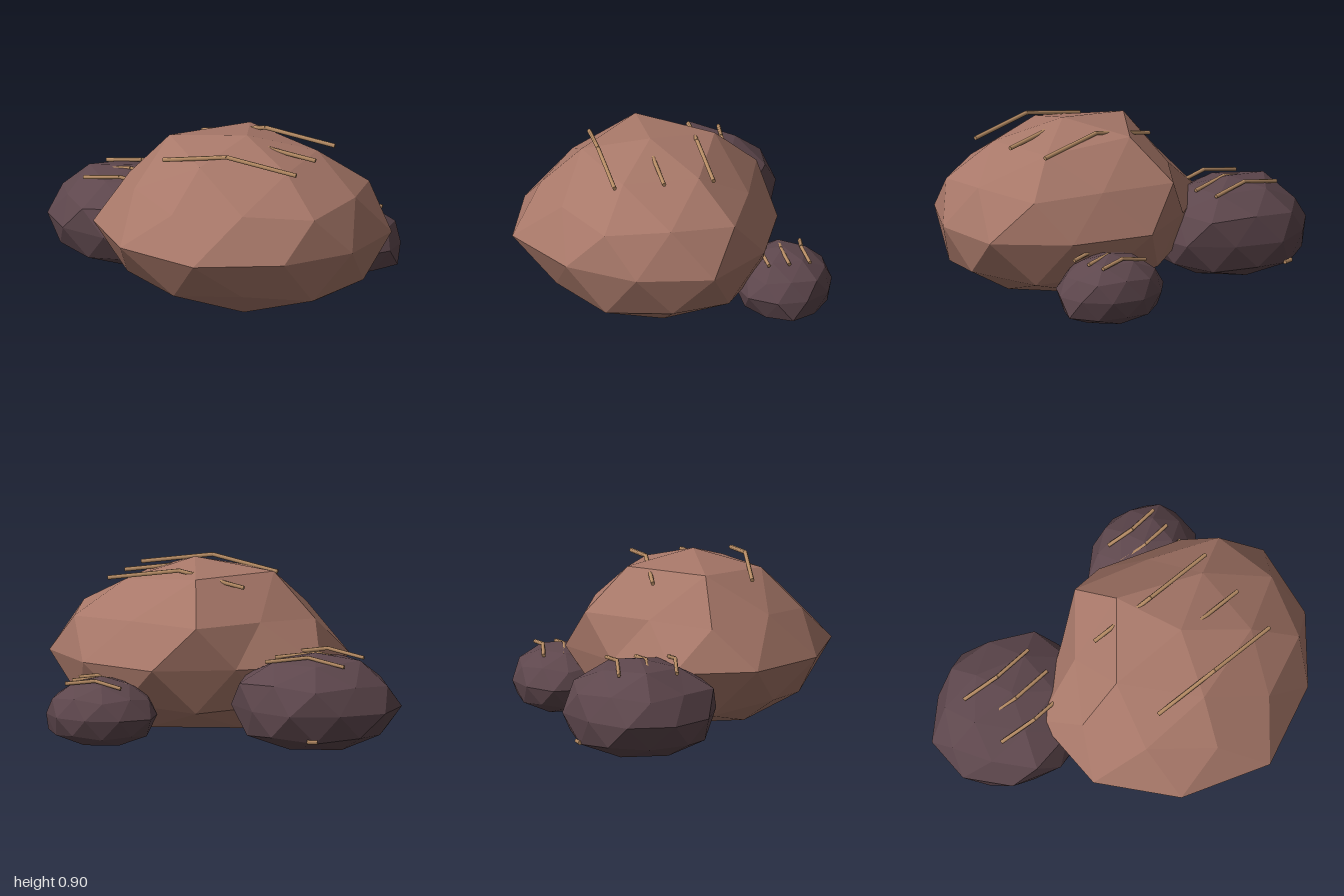
import * as THREE from 'three';

const clay = new THREE.MeshStandardMaterial({ color: 0xa87869 });
clay.name = 'clay brown';
const dusk = new THREE.MeshStandardMaterial({ color: 0x5e474d });
dusk.name = 'dusky purple';
const straw = new THREE.MeshStandardMaterial({ color: 0xb98e66 });
straw.name = 'straw tan';

// Faceted boulder: rings of a pole-up icosphere, cut flat at floorY.
// bumps pushes single points in or out, keyed by ring letter and angle.
const RINGS = { c: [0.851, 0.526], m: [0.526, 0.851], p: [0.447, 0.894], e: [0, 1] };

function boulder(name, material, centre, scale, floorY, bumps) {
  const [sx, sy, sz] = scale;
  const base = floorY - centre[1];
  const positions = [];
  const point = (ring, angle, side) => {
    const a = ((angle % 360) + 360) % 360;
    const k = bumps[ring + a] ?? 1;
    const [h, r] = RINGS[ring];
    const t = THREE.MathUtils.degToRad(a);
    return [
      Math.sin(t) * r * k * sx,
      Math.max(side * h * k * sy, base),
      Math.cos(t) * r * k * sz,
    ];
  };
  for (const side of [1, -1]) {
    const start = side > 0 ? 54 : 18;
    const tri = (a, b, c) => positions.push(...a, ...(side > 0 ? b : c), ...(side > 0 ? c : b));
    const pole = [0, side > 0 ? sy : base, 0];
    const P = (ring, angle) => point(ring, angle, side);
    for (let i = 0; i < 5; i++) {
      const a = start + 72 * i;
      const cap = P('c', a), nextCap = P('c', a + 72);
      const before = P('m', a - 36), corner = P('p', a), after = P('m', a + 36);
      const nextCorner = P('p', a + 72);
      const e0 = P('e', a - 18), e1 = P('e', a + 18), e2 = P('e', a + 54);
      tri(pole, cap, nextCap);
      tri(cap, before, corner);
      tri(cap, corner, after);
      tri(cap, after, nextCap);
      tri(corner, e0, e1);
      tri(corner, e1, after);
      tri(after, e1, e2);
      tri(after, e2, nextCorner);
    }
  }
  const geometry = new THREE.BufferGeometry();
  geometry.setAttribute('position', new THREE.Float32BufferAttribute(positions, 3));
  geometry.computeVertexNormals();
  const mesh = new THREE.Mesh(geometry, material);
  mesh.name = name;
  mesh.position.set(...centre);
  return mesh;
}

// Thin bent stalk running through a list of points
function stalk(name, points, radius) {
  const group = new THREE.Group();
  group.name = name;
  const v = points.map((p) => new THREE.Vector3(...p));
  for (let i = 0; i + 1 < v.length; i++) {
    const dir = v[i + 1].clone().sub(v[i]);
    const mesh = new THREE.Mesh(new THREE.CylinderGeometry(radius, radius, dir.length(), 6), straw);
    mesh.name = name + 'Segment';
    mesh.position.copy(v[i]).addScaledVector(dir, 0.5);
    mesh.quaternion.setFromUnitVectors(new THREE.Vector3(0, 1, 0), dir.normalize());
    group.add(mesh);
  }
  return group;
}

// Three parallel stalks, highest in the middle and leaning forward there
function stalks(name, xs, ys, zs, lean, radius) {
  const group = new THREE.Group();
  group.name = name;
  for (const z of zs) {
    group.add(stalk('stalk', xs.map((x, i) => [x, ys[i], i === 1 ? z + lean : z]), radius));
  }
  return group;
}

export function createModel() {
  const model = new THREE.Group();
  model.name = 'boulders';

  // Boulders
  model.add(
    boulder('largeBoulder', clay, [0.26, 0.395, 0.09], [0.8, 0.505, 0.71], 0.038, {
      e0: 1.04, e36: 0.92, e72: 0.9, e108: 0.97, e144: 0.93,
      e180: 0.96, e216: 0.86, e252: 1.03, e288: 1.03, e324: 1.02,
      p54: 0.91, p126: 0.95, p198: 1.01, p270: 0.94, p342: 0.91,
      m18: 0.88, m90: 0.91, m162: 0.86, m234: 0.86, m306: 0.92,
      c54: 0.92, c126: 0.93, c198: 1.04, c270: 1.05, c342: 0.97,
      p18: 0.89, p90: 0.93, p162: 0.91, p234: 0.92, p306: 0.93,
      m54: 0.93, m126: 0.93, m198: 0.91, m270: 0.97, m342: 0.93,
      c18: 0.95, c90: 0.95,
    }),
    boulder('rightBoulder', dusk, [-0.56, 0.22, -0.32], [0.45, 0.28, 0.41], 0.012, {
      e252: 1.02, e288: 1.02, e216: 0.93, e144: 0.93,
      p342: 1.08, p126: 1.06, c270: 1.06, m234: 0.95, m306: 0.95, m270: 0.94,
    }),
    boulder('leftBoulder', dusk, [0.55, 0.15, -0.57], [0.3, 0.2, 0.26], 0, {
      e252: 1.08, p90: 1.1, e108: 0.98, p126: 1.03, p54: 0.94, m90: 0.94, e36: 1.04,
    }),
  );

  // Stalks lying over each boulder
  model.add(
    stalks('largeBoulderStalks', [-0.11, 0.26, 0.65], [0.797, 0.865, 0.808], [0.35, 0.085, -0.18], 0.018, 0.0115),
    stalks('rightBoulderStalks', [-0.77, -0.56, -0.33], [0.457, 0.493, 0.46], [-0.15, -0.305, -0.46], 0.022, 0.0105),
    stalks('leftBoulderStalks', [0.4, 0.55, 0.71], [0.311, 0.341, 0.32], [-0.465, -0.575, -0.685], 0.018, 0.0105),
    stalk('lowStub', [[-0.69, 0.083, -0.655], [-0.635, 0.083, -0.665]], 0.012),
  );
  return model;
}
